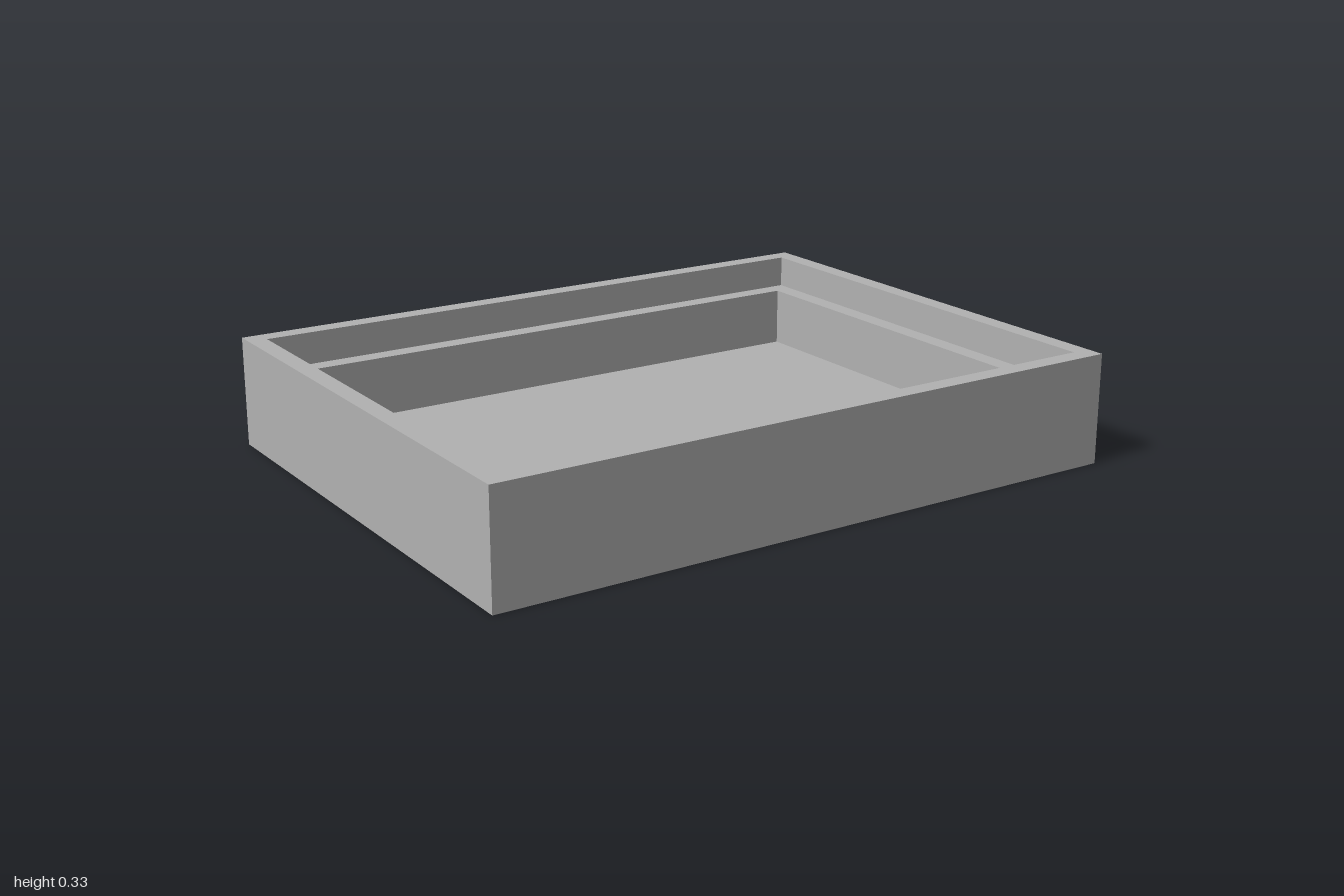
import * as THREE from 'three';

const W = 2, D = 1.524, H = 0.333;      // outer size
const WALL = 0.056, LEDGE = 0.113;      // insets of the rim opening and the well
const LEDGE_Y = 0.235, FLOOR_Y = 0.054;

// Rectangle outline shrunk by an inset on every side
function outline(inset, Type) {
  const x = W / 2 - inset, z = D / 2 - inset;
  return new Type([[-x, -z], [x, -z], [x, z], [-x, z]].map(([a, b]) => new THREE.Vector2(a, b)));
}

// Horizontal layer from y0 to y1, optionally with a rectangular opening
function layer(name, y0, y1, inset, material) {
  const shape = outline(0, THREE.Shape);
  if (inset) shape.holes.push(outline(inset, THREE.Path));
  const geometry = new THREE.ExtrudeGeometry(shape, { depth: y1 - y0, bevelEnabled: false });
  geometry.rotateX(-Math.PI / 2).translate(0, y0, 0);
  const mesh = new THREE.Mesh(geometry, material);
  mesh.name = name;
  return mesh;
}

export function createModel() {
  const grey = new THREE.MeshStandardMaterial({ color: 0xb2b2b2 });
  grey.name = 'plain grey';

  const group = new THREE.Group();
  group.name = 'tray';
  group.add(
    layer('floor', 0, FLOOR_Y, 0, grey),
    layer('steppedLedge', FLOOR_Y, LEDGE_Y, LEDGE, grey),
    layer('rim', LEDGE_Y, H, WALL, grey)
  );
  return group;
}
